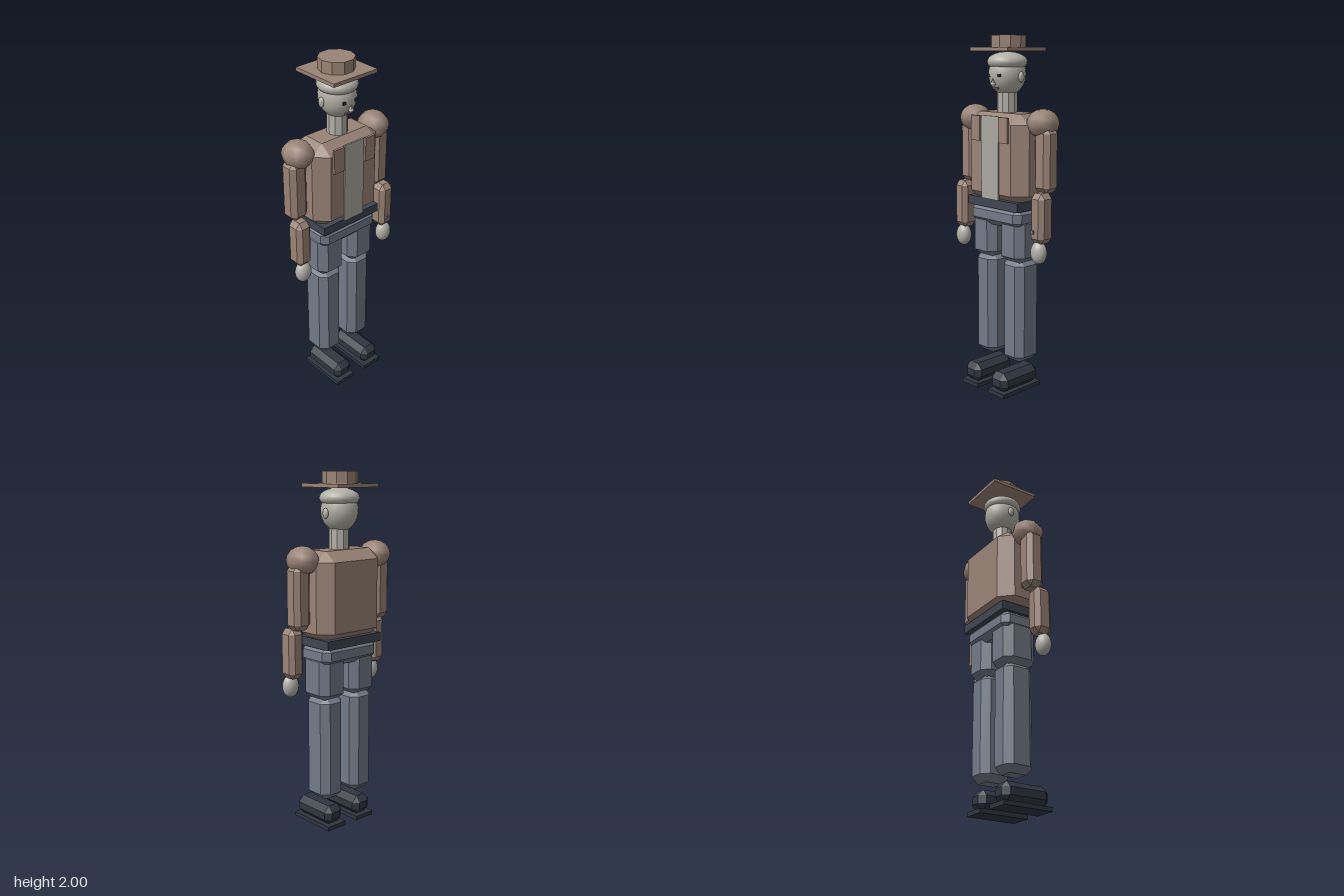
import * as THREE from 'three';
import { ConvexGeometry } from 'three/addons/geometries/ConvexGeometry.js';

const paint = (name, color, flatShading = false) => {
  const m = new THREE.MeshStandardMaterial({ color });
  m.name = name;
  m.flatShading = flatShading;
  return m;
};

export function createModel() {
  const model = new THREE.Group();
  model.name = 'manInHat';

  const coat = paint('coatBrown', 0x9a8376);
  const skin = paint('skinGrey', 0xb2b0a7);
  const shirt = paint('shirtGrey', 0xa9a89f);
  const trousers = paint('trouserBlue', 0x737988);
  const belt = paint('beltSlate', 0x3f4651);
  const leather = paint('shoeDark', 0x30353f);
  const dark = paint('eyeDark', 0x2a2b2f);
  const lip = paint('mouthBrown', 0x86706a);

  const add = (name, geometry, material, x, y, z) => {
    const mesh = new THREE.Mesh(geometry, material);
    mesh.name = name;
    mesh.position.set(x, y, z);
    model.add(mesh);
    return mesh;
  };
  const box = (name, mat, w, h, d, x, y, z) => add(name, new THREE.BoxGeometry(w, h, d), mat, x, y, z);
  const ball = (name, mat, rx, ry, rz, x, y, z, seg = 24, rings = 16) =>
    add(name, new THREE.SphereGeometry(1, seg, rings).scale(rx, ry, rz), mat, x, y, z);

  // Box with every edge and corner cut off, from half sizes and cut depths
  const cutBox = (name, mat, [hx, hy, hz], [cx, cy, cz], x, y, z) => {
    const points = [];
    for (const i of [-1, 1]) for (const j of [-1, 1]) for (const k of [-1, 1]) {
      points.push(
        new THREE.Vector3(i * hx, j * (hy - cy), k * (hz - cz)),
        new THREE.Vector3(i * (hx - cx), j * hy, k * (hz - cz)),
        new THREE.Vector3(i * (hx - cx), j * (hy - cy), k * hz));
    }
    return add(name, new ConvexGeometry(points), mat, x, y, z);
  };

  // Cylinder with flat sides and ten corners
  const prism = (name, mat, r, h, x, y, z) => {
    const g = new THREE.CylinderGeometry(r, r, h, 10).rotateY(Math.PI / 2).toNonIndexed();
    g.computeVertexNormals();
    return add(name, g, mat, x, y, z);
  };

  // Hat
  box('hatBrim', coat, 0.294, 0.02, 0.293, 0, 1.925, -0.028);
  prism('hatCrown', coat, 0.098, 0.066, 0, 1.967, -0.028);

  // Head and face
  ball('head', skin, 0.101, 0.117, 0.107, 0, 1.792, -0.023);
  ball('hairCap', skin, 0.109, 0.055, 0.113, 0, 1.858, -0.023);
  prism('neck', skin, 0.057, 0.13, 0, 1.635, -0.022);
  const nose = add('nose', new THREE.ConeGeometry(0.016, 0.034, 4), skin, 0, 1.754, 0.085);
  nose.rotation.y = Math.PI / 4;
  box('mouth', lip, 0.045, 0.009, 0.009, 0, 1.718, 0.064);
  for (const s of [-1, 1]) {
    box('eye', dark, 0.02, 0.016, 0.009, s * 0.038, 1.786, 0.076);
    ball('ear', skin, 0.013, 0.029, 0.019, s * 0.104, 1.778, -0.028, 12, 8);
  }

  // Torso
  cutBox('jacket', coat, [0.228, 0.248, 0.133], [0.07, 0.055, 0.07], 0, 1.337, -0.028);
  box('shirtFront', shirt, 0.136, 0.46, 0.009, 0, 1.342, 0.108);
  for (const s of [-1, 1]) box('lapel', coat, 0.068, 0.138, 0.014, s * 0.109, 1.5, 0.111);
  box('belt', belt, 0.396, 0.05, 0.246, 0, 1.085, -0.028);
  cutBox('pelvis', trousers, [0.197, 0.06, 0.115], [0.035, 0.035, 0.035], 0, 1.016, -0.022);

  // Arms, legs and shoes
  for (const s of [-1, 1]) {
    ball('shoulder', coat, 0.085, 0.078, 0.092, s * 0.267, 1.539, -0.028, 8, 8);
    cutBox('upperArm', coat, [0.055, 0.175, 0.052], [0.027, 0.03, 0.025], s * 0.295, 1.345, -0.025);
    cutBox('forearm', coat, [0.048, 0.138, 0.053], [0.024, 0.03, 0.025], s * 0.306, 1.038, 0.018);
    ball('hand', skin, 0.048, 0.063, 0.041, s * 0.306, 0.85, 0.037);
    cutBox('thigh', trousers, [0.09, 0.13, 0.102], [0.04, 0.035, 0.045], s * 0.11, 0.89, -0.022);
    cutBox('shin', trousers, [0.079, 0.304, 0.09], [0.039, 0.037, 0.04], s * 0.11, 0.477, -0.024);
    cutBox('shoe', leather, [0.063, 0.055, 0.142], [0.033, 0.034, 0.03], s * 0.109, 0.076, 0.026);
    box('sole', leather, 0.13, 0.024, 0.298, s * 0.109, 0.012, 0.024);
  }
  box('cuffButton', trousers, 0.019, 0.02, 0.016, 0.294, 0.967, 0.073);

  return model;
}
